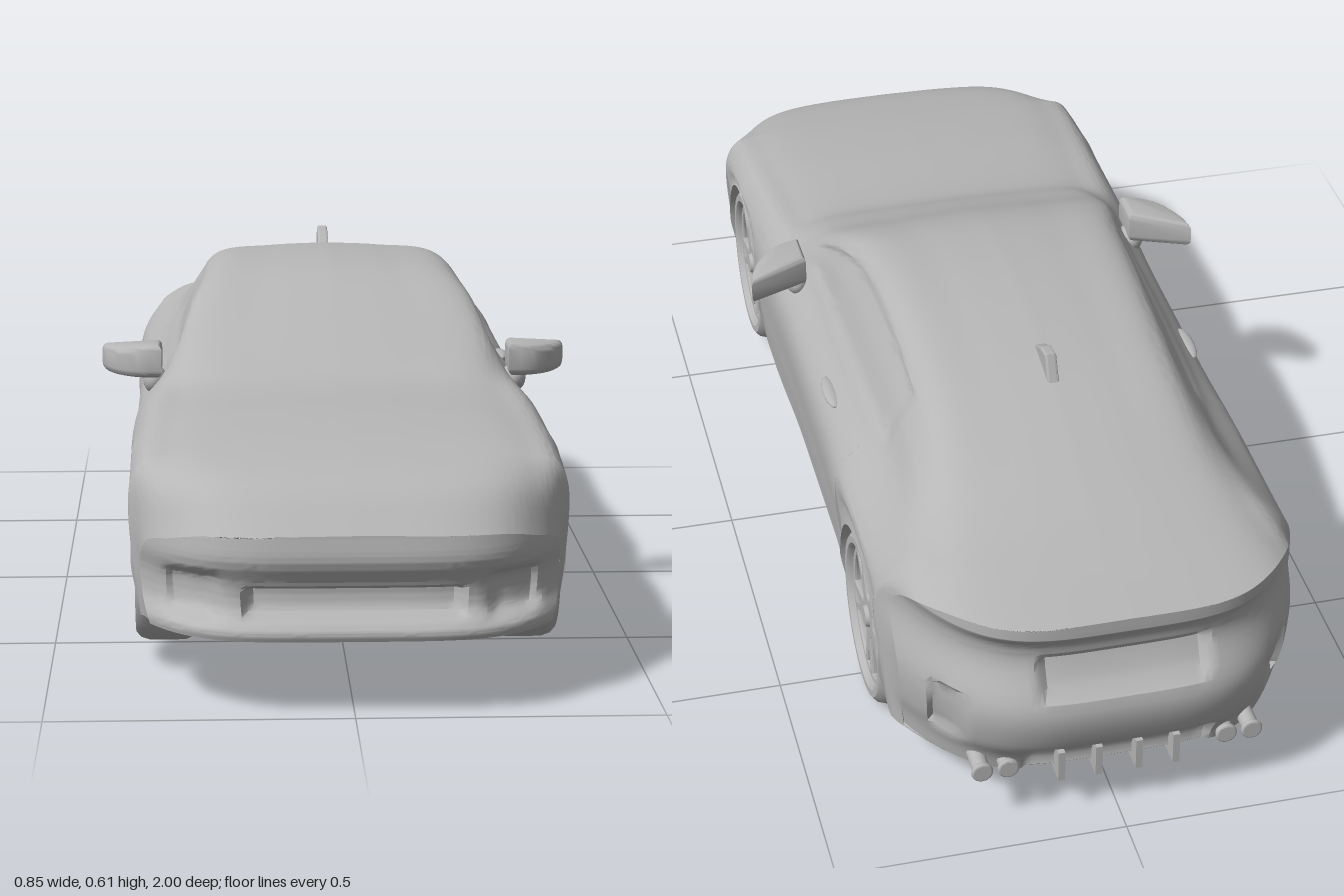
import * as THREE from 'three';
import { toCreasedNormals } from 'three/addons/utils/BufferGeometryUtils.js';

const { lerp, smoothstep, clamp } = THREE.MathUtils;
const paint = new THREE.MeshStandardMaterial({ color: 0xb6b6b6 });
paint.name = 'plain grey';

// Stations along the car: z, shoulder x, shoulder y, roof/hood edge x, centre y
const STATIONS = [
  [-0.975, 0.325, 0.405, 0.27, 0.435],
  [-0.86, 0.315, 0.42, 0.24, 0.452],
  [-0.74, 0.305, 0.43, 0.22, 0.476],
  [-0.5, 0.29, 0.43, 0.21, 0.56],
  [-0.36, 0.295, 0.433, 0.21, 0.588],
  [-0.18, 0.3, 0.433, 0.215, 0.603],
  [-0.02, 0.302, 0.432, 0.225, 0.594],
  [0.08, 0.302, 0.43, 0.245, 0.567],
  [0.2, 0.31, 0.425, 0.262, 0.508],
  [0.28, 0.32, 0.416, 0.25, 0.473],
  [0.36, 0.325, 0.412, 0.225, 0.439],
  [0.6, 0.335, 0.395, 0.24, 0.42],
  [0.77, 0.34, 0.372, 0.25, 0.398],
  [0.91, 0.34, 0.325, 0.25, 0.36],
  [0.985, 0.335, 0.26, 0.25, 0.295],
];
const AXLES = [
  { name: 'Front', z: 0.595, y: 0.188, r: 0.154 },
  { name: 'Rear', z: -0.535, y: 0.157, r: 0.157 },
];
const ARCH_GAP = 0.007;
// Bumper depth by height: y, outward offset
const NOSE = [[0.12, 0.01], [0.14, 0.015], [0.17, -0.012], [0.21, -0.014], [0.25, 0.004], [0.295, 0]];
const TAIL = [[0.09, -0.045], [0.13, -0.03], [0.18, 0.004], [0.26, 0.02], [0.34, -0.016], [0.38, -0.014], [0.41, 0.008]];

// Smooth interpolation of one table column
function lookup(table, t, col) {
  let i = 0;
  while (i < table.length - 2 && table[i + 1][0] < t) i++;
  const slope = (a, b) => (table[b][col] - table[a][col]) / (table[b][0] - table[a][0]);
  const tangent = (k) => slope(Math.max(0, k - 1), Math.min(table.length - 1, k + 1));
  const h = table[i + 1][0] - table[i][0];
  const u = clamp((t - table[i][0]) / h, 0, 1), u2 = u * u, u3 = u2 * u;
  return (2 * u3 - 3 * u2 + 1) * table[i][col] + (u3 - 2 * u2 + u) * h * tangent(i)
    + (3 * u2 - 2 * u3) * table[i + 1][col] + (u3 - u2) * h * tangent(i + 1);
}
const band = (v, a, b, s) => smoothstep(v, a - s, a) * (1 - smoothstep(v, b, b + s));

// Height of the roof or hood edge, a little below the crowned centre line
function edgeHeight(z) {
  const yT = lookup(STATIONS, z, 4);
  return yT - lerp(0.007, 0.019, smoothstep(yT, 0.44, 0.51));
}

// Round the bumpers in plan and press in the grille, vents, plate recess and side windows
function warp([x, y, z]) {
  const ax = Math.abs(x);
  const f = Math.max(0, (z - 0.765) / 0.22), r = Math.max(0, (-0.705 - z) / 0.27);
  let nz = z;
  if (f > 0) {
    const grille = 0.035 * band(ax, 0, 0.165, 0.02) * band(y, 0.163, 0.198, 0.01);
    const vent = 0.025 * band(ax, 0.235, 0.285, 0.025) * band(y, 0.165, 0.215, 0.02);
    nz += -f * 0.2 * (ax / 0.36) ** 4.5 + f ** 4 * (lookup(NOSE, y, 1) - grille - vent);
  }
  if (r > 0) {
    const plate = 0.018 * band(ax, 0, 0.13, 0.02) * band(y, 0.29, 0.35, 0.012);
    const vent = 0.025 * band(ax, 0.27, 0.295, 0.015) * band(y, 0.17, 0.26, 0.02);
    const diffuser = 0.02 * band(ax, 0, 0.15, 0.02) * band(y, 0.1, 0.15, 0.015);
    nz += r * 0.25 * (ax / 0.36) ** 4 - r ** 4 * (lookup(TAIL, y, 1) - plate - vent - diffuser);
  }
  const pane = ax > 0.19 ? band(z, -0.4, 0.14, 0.05) * band(y, 0.448, edgeHeight(z) - 0.03, 0.012) : 0;
  return [x - Math.sign(x) * 0.007 * pane, y, nz];
}

// Half cross-section from the floor centre round the left side to the top centre
const SILL = 14;
function section(z, arched) {
  const [xB, yB, xT, yT] = [1, 2, 3, 4].map((c) => lookup(STATIONS, z, c));
  const yE = edgeHeight(z);
  const w = 0.362 - 0.006 * band(z, -0.2, 0.1, 0.25) - 0.017 * smoothstep(Math.abs(z), 0.8, 0.985);
  const yF = 0.1 + 0.025 * smoothstep(z, 0.45, 0.985) - 0.012 * band(z, -0.9, -0.4, 0.15);
  let yA = yF;
  for (const a of AXLES) {
    const R = a.r + ARCH_GAP, d = Math.abs(z - a.z);
    if (arched && d <= R + 1e-6) yA = a.y + Math.sqrt(Math.max(0, R * R - d * d));
  }
  const waist = Math.max(Math.min(0.355, yB - 0.038), yA + 0.01);
  const xS = w - 0.016 * (1 - clamp((yA - yF) / 0.08, 0, 1));
  const pts = [];
  for (let i = 0; i <= 8; i++) pts.push([0.245 * i / 8, yF, z]);
  for (let i = 0; i <= 5; i++) pts.push([lerp(0.245, xS, i / 5), yA, z]);
  const curve = new THREE.CatmullRomCurve3([
    [xS, yA], [w - 0.003, lerp(yA, waist, 0.45)], [w, waist], [xB, yB],
    [lerp(xB, xT, 0.55) + 0.006, lerp(yB, yE, 0.6)], [xT, yE], [xT * 0.5, lerp(yE, yT, 0.75)], [0, yT],
  ].map(([x, y]) => new THREE.Vector3(x, y, 0)));
  for (const p of curve.getPoints(63).slice(1)) pts.push([p.x, p.y, z]);
  return pts;
}

// Surface through rows of points
function skin(rows) {
  const n = rows[0].length, index = [];
  for (let i = 0; i < rows.length - 1; i++) for (let j = 0; j < n - 1; j++) {
    const a = i * n + j, b = a + n;
    index.push(a, b, b + 1, a, b + 1, a + 1);
  }
  const g = new THREE.BufferGeometry();
  g.setAttribute('position', new THREE.Float32BufferAttribute(rows.flat().flatMap(warp), 3));
  g.setIndex(index);
  return toCreasedNormals(g, 0.65);
}

function add(parent, name, geometry, x = 0, y = 0, z = 0) {
  const m = new THREE.Mesh(geometry, paint);
  m.name = name;
  m.position.set(x, y, z);
  parent.add(m);
  return m;
}

function buildBody(car) {
  // Cuts along the car, doubled at the ends of each wheel arch
  const cuts = [];
  for (let i = 0; i <= 98; i++) cuts.push([lerp(0.985, -0.975, i / 98), true]);
  for (const a of AXLES) {
    const R = a.r + ARCH_GAP;
    for (let k = 0; k <= 32; k++) cuts.push([a.z + R * Math.cos(Math.PI * k / 32), true]);
    cuts.push([a.z + R + 1e-4, false], [a.z - R - 1e-4, false]);
  }
  cuts.sort((a, b) => b[0] - a[0]);
  const rings = cuts.map(([z, arched]) => {
    const half = section(z, arched);
    return [...half, ...half.slice(0, -1).reverse().map(([x, y]) => [-x, y, z])];
  });
  add(car, 'bodyShell', skin(rings));
  // Bumper faces close the shell at both ends
  for (const [name, z, s] of [['frontBumper', 0.985, 1], ['rearBumper', -0.975, -1]]) {
    const edge = section(z, false).slice(SILL);
    const columns = [];
    for (let c = 0; c <= 64; c++) columns.push(edge.map(([x, y]) => [x * s * lerp(-1, 1, c / 64), y, z]));
    add(car, name, skin(columns));
  }
}

// Opening in the wheel face between two radii
function slot(angle, r0, r1, a0, a1) {
  const p = new THREE.Path();
  p.absarc(0, 0, r1, angle - a1, angle + a1, false);
  p.lineTo(r0 * Math.cos(angle + a0), r0 * Math.sin(angle + a0));
  p.lineTo(r0 * Math.cos(angle - a0), r0 * Math.sin(angle - a0));
  p.closePath();
  return p;
}

function buildWheel(r) {
  const wheel = new THREE.Group();
  const profile = [[0, -0.05], [r - 0.02, -0.05], [r - 0.006, -0.045], [r, -0.03], [r, 0.03], [r - 0.005, 0.045],
    [r - 0.014, 0.053], [r - 0.026, 0.053], [r - 0.031, 0.047], [r - 0.036, 0.015], [0, 0.012]];
  const tyre = new THREE.LatheGeometry(profile.map(([a, b]) => new THREE.Vector2(a, b)), 56);
  add(wheel, 'tyre', toCreasedNormals(tyre.rotateX(Math.PI / 2), 0.6));
  const face = new THREE.Shape().absarc(0, 0, r - 0.03, 0, Math.PI * 2);
  for (let i = 0; i < 5; i++) {
    const a = Math.PI / 2 + i * Math.PI * 0.4;
    face.holes.push(slot(a, 0.042, r - 0.044, 0.22, 0.38), slot(a + Math.PI / 5, 0.075, r - 0.046, 0.03, 0.1));
  }
  add(wheel, 'spokes', new THREE.ExtrudeGeometry(face, {
    depth: 0.016, bevelSize: 0.003, bevelThickness: 0.004, bevelOffset: -0.003, bevelSegments: 2, curveSegments: 20,
  }), 0, 0, 0.022);
  add(wheel, 'hubCap', new THREE.CylinderGeometry(0.018, 0.022, 0.012, 24).rotateX(Math.PI / 2), 0, 0, 0.043);
  return wheel;
}

function buildMirror(car, s, side) {
  const plan = new THREE.Shape();
  plan.moveTo(s * 0.325, -0.205);
  plan.quadraticCurveTo(s * 0.39, -0.205, s * 0.414, -0.112);
  plan.lineTo(s * 0.325, -0.15);
  plan.closePath();
  const g = new THREE.ExtrudeGeometry(plan, { depth: 0.036, bevelSize: 0.011, bevelThickness: 0.013, bevelSegments: 4 });
  g.rotateX(-Math.PI / 2).translate(0, 0.43, 0);
  // Top slopes down towards the tip
  const p = g.attributes.position;
  for (let i = 0; i < p.count; i++) {
    if (p.getY(i) > 0.45) p.setY(i, p.getY(i) - 0.12 * (Math.abs(p.getX(i)) - 0.31));
  }
  add(car, side + 'Mirror', toCreasedNormals(g, 0.7));
  const foot = add(car, side + 'MirrorFoot', new THREE.SphereGeometry(1, 20, 12), s * 0.327, 0.409, 0.175);
  foot.scale.set(0.022, 0.026, 0.03);
}

export function createModel() {
  const car = new THREE.Group();
  car.name = 'coupe';
  buildBody(car);
  for (const s of [1, -1]) {
    const side = s > 0 ? 'left' : 'right';
    for (const a of AXLES) {
      const wheel = buildWheel(a.r);
      wheel.name = `${side}${a.name}Wheel`;
      wheel.position.set(s * 0.303, a.y, a.z);
      wheel.rotation.y = s * Math.PI / 2;
      car.add(wheel);
    }
    buildMirror(car, s, side);
    const handle = add(car, side + 'DoorHandle', new THREE.SphereGeometry(1, 20, 10), s * 0.334, 0.392, -0.18);
    handle.scale.set(0.014, 0.008, 0.05);
    // Twin exhaust tips
    for (const x of [0.19, 0.235]) {
      add(car, side + 'ExhaustTip', new THREE.TorusGeometry(0.014, 0.005, 10, 24), s * x, 0.115, -0.935);
      add(car, side + 'ExhaustPipe', new THREE.CylinderGeometry(0.015, 0.015, 0.07, 20).rotateX(Math.PI / 2), s * x, 0.115, -0.905);
    }
  }
  // Diffuser fins
  for (const x of [-0.1, -0.035, 0.035, 0.1]) add(car, 'diffuserFin', new THREE.BoxGeometry(0.012, 0.06, 0.09), x, 0.107, -0.9);
  // Roof fin
  const fin = new THREE.Shape([[-0.38, 0.575], [-0.43, 0.6], [-0.462, 0.605], [-0.49, 0.55]].map(([z, y]) => new THREE.Vector2(z, y)));
  const finGeometry = new THREE.ExtrudeGeometry(fin, { depth: 0.012, bevelSize: 0.003, bevelThickness: 0.004, bevelSegments: 2 });
  add(car, 'roofFin', finGeometry.rotateY(-Math.PI / 2).translate(0.006, 0, 0));
  return car;
}
